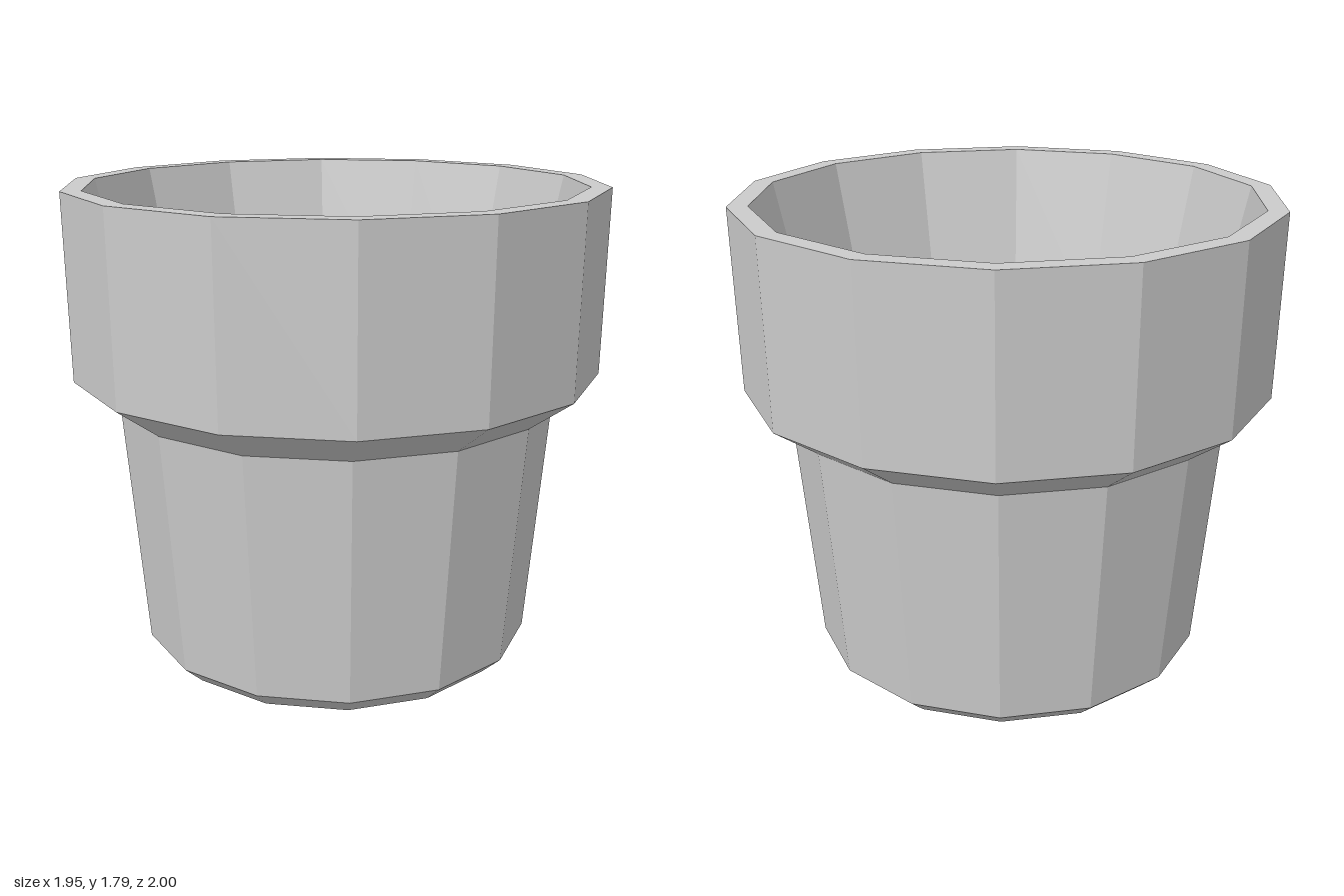
import * as THREE from 'three';

const SIDES = 14;

export function createModel() {
  const group = new THREE.Group();
  group.name = 'flowerPot';
  const material = new THREE.MeshStandardMaterial({ color: 0xcccccc, flatShading: true });

  // Faceted ring surface; a profile of [radius, height] running upward faces outward
  const addLathe = (name, profile) => {
    const points = profile.map(([r, y]) => new THREE.Vector2(r, y));
    const mesh = new THREE.Mesh(new THREE.LatheGeometry(points, SIDES), material);
    mesh.name = name;
    group.add(mesh);
  };

  // Flat polygon facing up or down
  const addDisc = (name, radius, y, up) => {
    const geometry = new THREE.CircleGeometry(radius, SIDES, Math.PI / 2);
    geometry.rotateX(up ? -Math.PI / 2 : Math.PI / 2);
    const mesh = new THREE.Mesh(geometry, material);
    mesh.name = name;
    mesh.position.y = y;
    group.add(mesh);
  };

  // Underside and tapered body with a bevelled foot
  addDisc('underside', 0.675, 0, false);
  addLathe('body', [[0.675, 0], [0.75, 0.07], [0.825, 0.99]]);

  // Wide collar with sloped lower edge and flat lip
  addLathe('collar', [[0.825, 0.99], [0.99, 1.11], [1, 1.795]]);
  addLathe('lip', [[1, 1.795], [0.925, 1.795]]);

  // Hollow interior closed by a floor
  addLathe('innerWall', [[0.925, 1.795], [0.775, 1.1]]);
  addDisc('innerFloor', 0.775, 1.1, true);

  return group;
}
